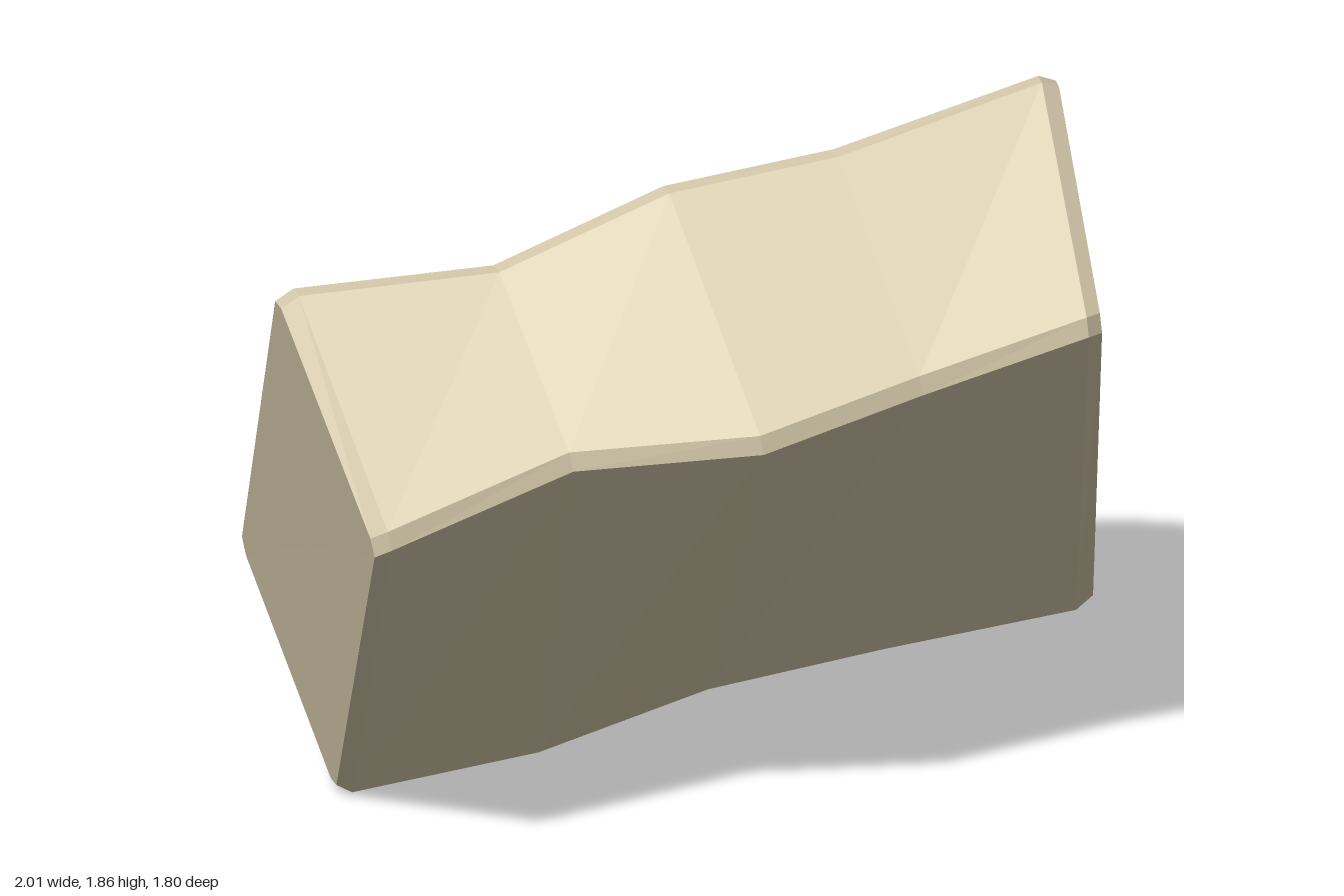
import * as THREE from 'three';

// Four long edges of the slab, each running from its -x end to its +x end
const EDGES = {
  top:    [[-1.0, 1.56, 0.44], [-0.48, 1.58, 0.39], [-0.07, 1.73, 0.31], [0.34, 1.77, 0.23], [0.88, 1.88, 0.07]],
  front:  [[-0.82, 1.11, 0.91], [-0.34, 1.25, 0.775], [0.11, 1.28, 0.79], [0.5, 1.36, 0.665], [0.935, 1.47, 0.59]],
  bottom: [[-0.82, 0.01, -0.09], [-0.33, 0.045, -0.21], [0.07, 0.2, -0.19], [0.5, 0.23, -0.31], [1.0, 0.29, -0.37]],
  back:   [[-0.985, 0.42, -0.6], [-0.52, 0.43, -0.62], [-0.07, 0.58, -0.7], [0.38, 0.62, -0.8], [0.88, 0.71, -0.91]],
};
const BEVEL = 0.025;

// Four corners become an eight-sided ring with chamfered corners
function chamferRing(corners) {
  const ring = [];
  corners.forEach((p, k) => {
    const toPrev = corners[(k + 3) % 4].clone().sub(p).normalize();
    const toNext = corners[(k + 1) % 4].clone().sub(p).normalize();
    const side = toNext.sub(toPrev).normalize().multiplyScalar(BEVEL);
    ring.push(p.clone().sub(side), p.clone().add(side));
  });
  return ring;
}

function centre(points) {
  return points.reduce((sum, p) => sum.add(p), new THREE.Vector3()).divideScalar(points.length);
}

// End face corners pulled slightly inward, leaving a chamfer around the end
function shrink(corners) {
  const c = centre(corners);
  return corners.map((p) => {
    const inward = c.clone().sub(p).setX(0).normalize();
    return p.clone().addScaledVector(inward, 0.035);
  });
}

function slabGeometry() {
  const stations = [0, 1, 2, 3, 4].map((i) =>
    Object.values(EDGES).map((edge) => new THREE.Vector3(...edge[i])));
  const bevelled = (end, next) => end.map((p, k) => p.clone().lerp(next[k], 0.08));

  const rings = [
    shrink(stations[0]),
    bevelled(stations[0], stations[1]),
    stations[1], stations[2], stations[3],
    bevelled(stations[4], stations[3]),
    shrink(stations[4]),
  ].map(chamferRing);

  const points = [];
  const n = 8;
  // Long sides and chamfers
  for (let i = 0; i < rings.length - 1; i++) {
    const a = rings[i], b = rings[i + 1];
    for (let k = 0; k < n; k++) {
      const m = (k + 1) % n;
      points.push(a[k], a[m], b[k], a[m], b[m], b[k]);
    }
  }
  // End faces
  const first = rings[0], last = rings[rings.length - 1];
  const c0 = centre(first), c1 = centre(last);
  for (let k = 0; k < n; k++) {
    const m = (k + 1) % n;
    points.push(c0, first[m], first[k], c1, last[k], last[m]);
  }
  const geometry = new THREE.BufferGeometry().setFromPoints(points);
  geometry.computeVertexNormals(); // unshared corners give flat facets
  return geometry;
}

export function createModel() {
  const group = new THREE.Group();
  group.name = 'stoneSlab';

  const stone = new THREE.MeshStandardMaterial({ color: 0xd9cdae });
  stone.name = 'pale sandstone';

  const slab = new THREE.Mesh(slabGeometry(), stone);
  slab.name = 'slab';
  group.add(slab);
  return group;
}
